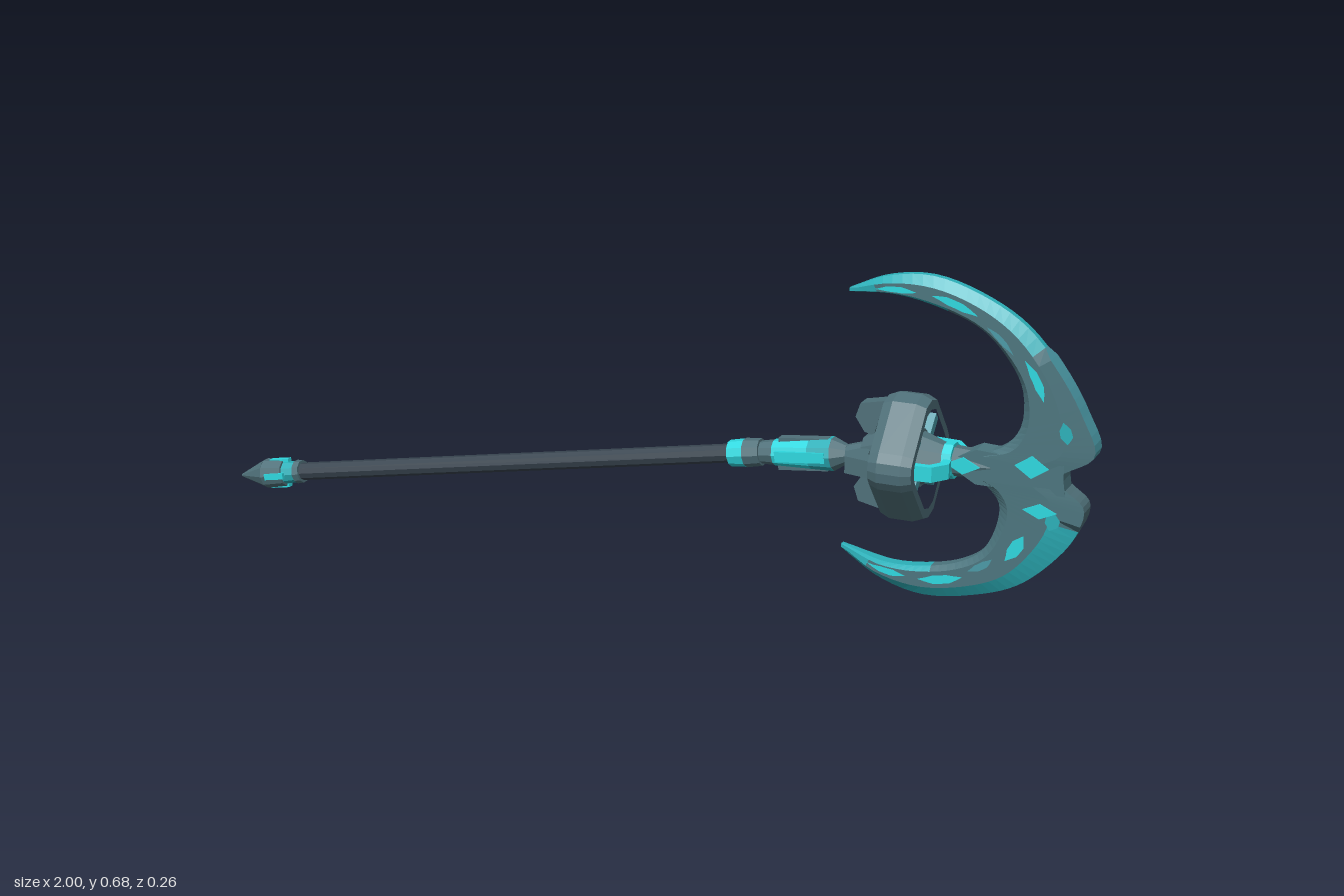
import * as THREE from 'three';

const mat = (name, color) => {
  const m = new THREE.MeshStandardMaterial({ color });
  m.name = name;
  return m;
};
const V = (x, y, z = 0) => new THREE.Vector3(x, y, z);
const flat = (pts) => new THREE.Shape(pts.map(([a, b]) => new THREE.Vector2(a, b)));

export function createModel() {
  const slate = mat('slate', 0x4f7079);
  const blade = mat('bladeSlate', 0x4c757e);
  const steel = mat('steelTeal', 0x4b9aa7);
  const edge = mat('edgeTeal', 0x2cb0b9);
  const cyan = mat('cyan', 0x2ed8df);
  const dark = mat('darkShaft', 0x38444f);

  const model = new THREE.Group();
  model.name = 'crescentAxe';

  // flat-shaded mesh from any geometry
  const add = (name, geo, material, parent = model) => {
    const g = geo.index ? geo.toNonIndexed() : geo;
    g.computeVertexNormals();
    const m = new THREE.Mesh(g, material);
    m.name = name;
    parent.add(m);
    return m;
  };
  const rod = (name, a, b, r0, r1, material, sides = 10) => {
    const m = add(name, new THREE.CylinderGeometry(r1, r0, a.distanceTo(b), sides), material);
    m.position.copy(a).add(b).multiplyScalar(0.5);
    m.quaternion.setFromUnitVectors(V(0, 1), b.clone().sub(a).normalize());
    return m;
  };
  // slab of the given half thickness, centred on z = 0
  const plate = (name, pts, half, material, parent = model) => {
    const g = new THREE.ExtrudeGeometry(flat(pts), { depth: half * 2, bevelEnabled: false });
    return add(name, g.translate(0, 0, -half), material, parent);
  };

  // Pole, from pommel spike to blade socket: name, x0, y0, x1, y1, r0, r1, colour
  [
    ['pommelSpike', -1, 0.02, -0.93, 0.035, 0.003, 0.034, slate],
    ['pommelBody', -0.93, 0.035, -0.88, 0.044, 0.034, 0.031, slate],
    ['pommelNeck', -0.88, 0.044, -0.85, 0.05, 0.026, 0.024, edge],
    ['pommelCollar', -0.85, 0.05, -0.835, 0.053, 0.027, 0.026, slate],
    ['shaft', -0.84, 0.052, 0.225, 0.246, 0.02, 0.02, dark],
    ['lowerCollar', 0.22, 0.245, 0.255, 0.251, 0.028, 0.03, cyan],
    ['collarBand', 0.255, 0.251, 0.29, 0.257, 0.031, 0.029, slate],
    ['collarNeck', 0.29, 0.257, 0.32, 0.261, 0.024, 0.027, slate],
    ['gripSleeve', 0.32, 0.261, 0.4, 0.27, 0.028, 0.033, cyan],
    ['gripSleeveTop', 0.4, 0.27, 0.45, 0.276, 0.033, 0.036, edge],
    ['gripShoulder', 0.45, 0.276, 0.48, 0.28, 0.036, 0.02, slate],
    ['neck', 0.48, 0.28, 0.53, 0.286, 0.02, 0.03, slate],
    ['hubBase', 0.52, 0.286, 0.56, 0.29, 0.04, 0.06, slate],
    ['hubCore', 0.56, 0.29, 0.64, 0.294, 0.065, 0.06, slate],
    ['hubCap', 0.64, 0.294, 0.69, 0.297, 0.055, 0.035, slate],
    ['socketBand', 0.69, 0.297, 0.71, 0.298, 0.038, 0.038, cyan],
    ['bladeSocket', 0.71, 0.298, 0.79, 0.3, 0.032, 0.026, slate],
  ].forEach(([n, x0, y0, x1, y1, r0, r1, m]) => rod(n, V(x0, y0), V(x1, y1), r0, r1, m));

  // Raised plates around the grip sleeve and the pommel
  for (let i = 0; i < 4; i++) {
    const a = i * Math.PI / 2, c = Math.cos(a), s = Math.sin(a);
    const grip = add('gripPlate', new THREE.BoxGeometry(0.11, 0.014, 0.022), i % 2 ? cyan : slate);
    grip.position.set(0.385, 0.268 + c * 0.028, s * 0.028);
    grip.rotation.set(a, 0, 0.11, 'ZXY');
    const fin = add('pommelInlay', new THREE.BoxGeometry(0.05, 0.008, 0.014), cyan);
    fin.position.set(-0.895, 0.041 + c * 0.03, s * 0.03);
    fin.rotation.set(a, 0, 0.18, 'ZXY');
  }

  // Diamond ring around the hub, extruded along x with wide chamfers
  const side = [[0, 0.132], [0.035, 0.123], [0.113, 0.035], [0.125, 0.018], [0.128, 0], [0.125, -0.018], [0.113, -0.035], [0.035, -0.123], [0, -0.132]];
  const loop = (k) => [...side, ...side.slice(1, -1).reverse().map(([a, b]) => [-a, b])]
    .map(([a, b]) => [a * k, b * k]);
  const ringShape = flat(loop(0.95));
  ringShape.holes.push(new THREE.Path(flat(loop(0.8)).getPoints()));
  const ringGeo = new THREE.ExtrudeGeometry(ringShape, {
    depth: 0.05, bevelEnabled: true, bevelThickness: 0.021, bevelSize: 0.009, bevelSegments: 1,
  });
  const ring = add('hubRing', ringGeo.translate(0, 0, -0.025), slate);
  ring.rotation.y = Math.PI / 2;
  ring.position.set(0.61, 0.293, 0);

  // Claws, struts and spokes repeated around the hub
  for (let i = 0; i < 4; i++) {
    const arm = new THREE.Group();
    arm.name = 'hubArm';
    arm.position.set(0, 0.293, 0);
    arm.rotation.x = i * Math.PI / 2;
    model.add(arm);
    plate('hubClaw', [[0.5, 0.075], [0.51, 0.105], [0.58, 0.12], [0.6, 0.08], [0.55, 0.075], [0.54, 0.04], [0.52, 0.045]], 0.018, slate, arm);
    if (i % 2) {
      plate('hubStrut', [[0.63, 0.08], [0.63, 0.1], [0.69, 0.095], [0.715, 0.06], [0.71, 0.03], [0.695, 0.03], [0.695, 0.058], [0.68, 0.08]], 0.016, cyan, arm);
    }
    const spoke = add('hubSpoke', new THREE.BoxGeometry(0.04, 0.05, 0.02), steel, arm);
    spoke.position.set(0.625, 0.053, 0.053);
    spoke.rotation.x = Math.PI / 4;
  }

  // Crescent horns: lofted between an inner and an outer curve, root to tip
  const curve = (pts) => new THREE.CatmullRomCurve3(pts.map(([x, y]) => V(x, y)));
  const N = 36;
  const horn = (name, inPts, outPts, flip, rootEnd, rootMat) => {
    const inner = curve(inPts), outer = curve(outPts);
    const thick = (t) => 0.027 - 0.004 * t - 0.016 * Math.max(0, (t - 0.9) / 0.1);
    const at = (t, f, z) => inner.getPoint(t).lerp(outer.getPoint(t), f).setZ(z);
    const section = (t) => {
      const h = thick(t), e = t < rootEnd ? 0.024 : 0.008;
      const half = [[0, h * 0.5], [0.14, h], [0.66, h], [1, Math.min(e, h)]];
      return [...half, ...half.slice().reverse().map(([f, z]) => [f, -z])].map(([f, z]) => at(t, f, z));
    };
    const quad = (out, a, b, c, d) => (flip ? [a, d, c, a, c, b] : [a, b, c, a, c, d])
      .forEach((p) => out.push(p.x, p.y, p.z));
    const toGeo = (arr) => new THREE.BufferGeometry()
      .setAttribute('position', new THREE.Float32BufferAttribute(arr, 3));
    const body = [], bevel = [], root = [], rim = [];
    for (let i = 0; i < N; i++) {
      const t = i / N, A = section(t), B = section((i + 1) / N);
      for (let j = 0; j < 8; j++) {
        const k = (j + 1) % 8, atRoot = t < rootEnd;
        const innerEdge = j === 0 || j > 5;
        let target = t > (innerEdge ? 0.7 : 0.9) ? bevel : body;
        if (j === 3) target = atRoot ? root : rim;
        else if ((j === 2 || j === 4) && !atRoot) target = bevel;
        quad(target, A[j], A[k], B[k], B[j]);
      }
    }
    const g = new THREE.Group();
    g.name = name;
    model.add(g);
    add('hornBody', toGeo(body), blade, g);
    add('hornBevel', toGeo(bevel), edge, g);
    add('hornRoot', toGeo(root), rootMat, g);
    add('hornRim', toGeo(rim), edge, g);
    // thin inlays following the horn on both faces: t range, width range, colour
    [[0.17, 0.25, 0.62, 0.78, edge], [0.32, 0.45, 0.34, 0.54, cyan], [0.48, 0.6, 0.18, 0.34, steel], [0.63, 0.76, 0.26, 0.52, cyan], [0.8, 0.92, 0.2, 0.5, cyan]]
      .forEach(([t0, t1, f0, f1, m]) => {
        const arr = [];
        const mid = (f0 + f1) / 2, w = (k) => Math.min(1, k / 2, (6 - k) / 2);
        for (const s of [1, -1]) for (let i = 0; i < 6; i++) {
          const p = (f, k) => {
            const t = t0 + (t1 - t0) * k / 6;
            return at(t, mid + (f - mid) * w(k), s * (thick(t) + 0.0015));
          };
          const q = [p(f0, i), p(f1, i), p(f1, i + 1), p(f0, i + 1)];
          quad(arr, ...(s > 0 ? q : q.reverse()));
        }
        add('hornInlay', toGeo(arr), m, g);
      });
  };
  horn('upperHorn',
    [[0.75, 0.325], [0.807, 0.342], [0.845, 0.39], [0.845, 0.47], [0.807, 0.535], [0.754, 0.583], [0.668, 0.616], [0.572, 0.633], [0.476, 0.626]],
    [[0.94, 0.31], [1.0, 0.353], [0.973, 0.428], [0.925, 0.508], [0.85, 0.594], [0.76, 0.647], [0.652, 0.678], [0.556, 0.668], [0.476, 0.634]],
    false, 0.42, steel);
  horn('lowerHorn',
    [[0.75, 0.272], [0.78, 0.257], [0.807, 0.225], [0.802, 0.171], [0.775, 0.118], [0.727, 0.086], [0.652, 0.066], [0.572, 0.062], [0.472, 0.085]],
    [[0.945, 0.275], [0.984, 0.24], [0.963, 0.171], [0.914, 0.107], [0.85, 0.053], [0.77, 0.021], [0.652, 0.002], [0.556, 0.025], [0.472, 0.077]],
    true, 0.2, slate);

  // Central block joining the horns, with diamond inlays on both faces
  plate('bladeCentre', [[0.72, 0.285], [0.76, 0.262], [0.945, 0.262], [0.94, 0.295], [0.94, 0.325], [0.76, 0.335], [0.72, 0.315]], 0.0255, blade);
  for (const s of [1, -1]) {
    [[0.735, 0.3, 0.035, 0.018, 0.032], [0.875, 0.315, 0.035, 0.024, 0.027], [0.895, 0.225, 0.035, 0.016, 0.027]]
      .forEach(([x, y, w, h, z]) => {
        plate('diamondInlay', [[x - w, y], [x, y - h], [x + w, y], [x, y + h]], 0.002, cyan).position.z = s * z;
      });
  }
  return model;
}
